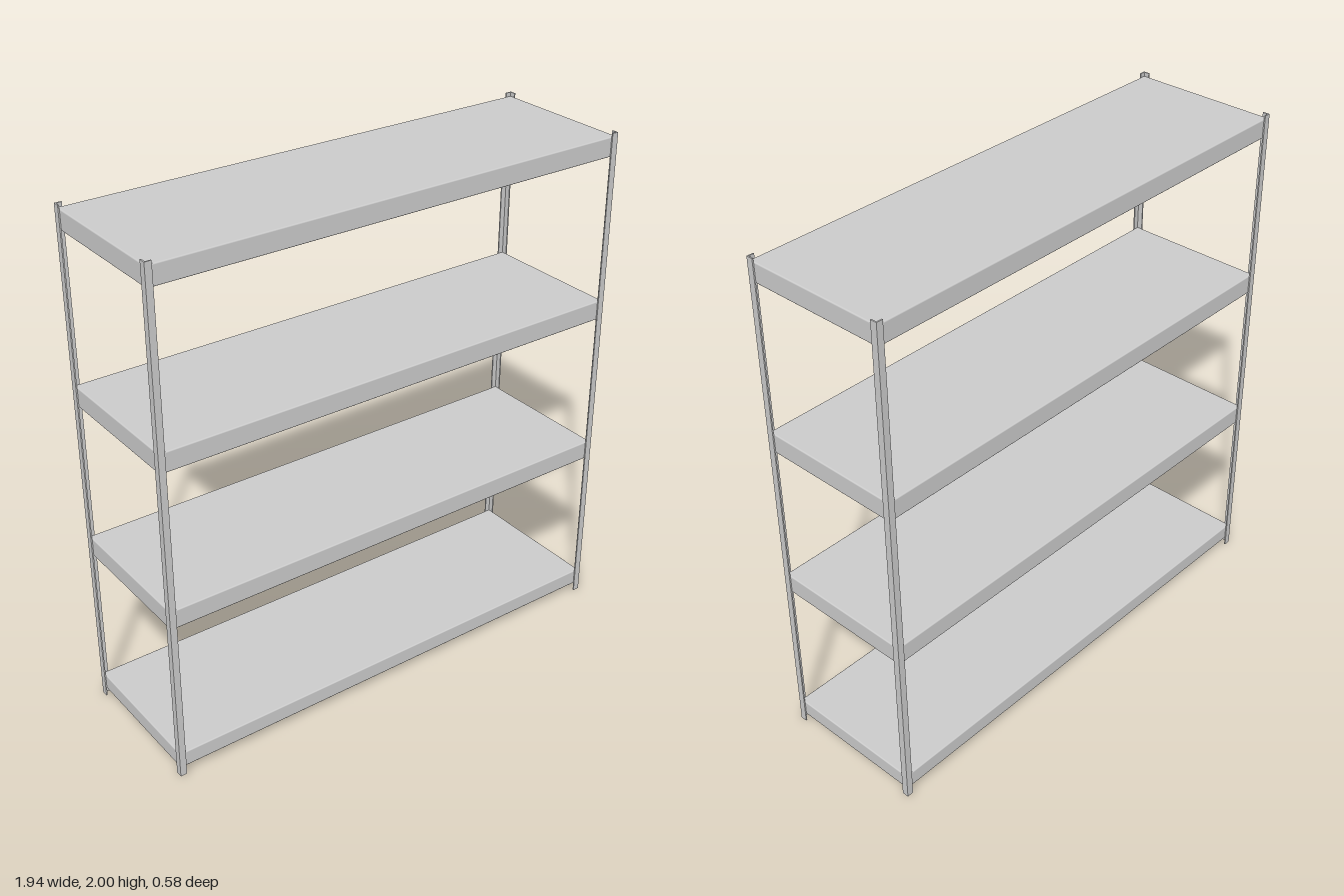
import * as THREE from 'three';
import { RoundedBoxGeometry } from 'three/addons/geometries/RoundedBoxGeometry.js';

const HALF_W = 0.97, HALF_D = 0.29, HEIGHT = 2;
const LEG = 0.026, THICK = 0.005;

export function createModel() {
  const group = new THREE.Group();
  const metal = new THREE.MeshStandardMaterial({ color: 0xcccccc });

  // Shelf decks with folded, slightly rounded edges: [bottom, top]
  const levels = [[0.033, 0.096], [0.644, 0.719], [1.26, 1.337], [1.91, 1.986]];
  levels.forEach(([bottom, top], i) => {
    const deck = new THREE.Mesh(
      new RoundedBoxGeometry(2 * (HALF_W - THICK), top - bottom, 2 * (HALF_D - THICK), 2, 0.005), metal);
    deck.name = `shelf${i + 1}`;
    deck.position.y = (bottom + top) / 2;
    group.add(deck);
  });

  // Angle-iron corner posts, corner outwards
  for (const sx of [-1, 1]) {
    for (const sz of [-1, 1]) {
      const post = new THREE.Group();
      post.name = `${sz > 0 ? 'front' : 'back'}${sx > 0 ? 'Left' : 'Right'}Post`;

      const faceFlange = new THREE.Mesh(new THREE.BoxGeometry(LEG, HEIGHT, THICK), metal);
      faceFlange.name = 'faceFlange';
      faceFlange.position.set(-sx * LEG / 2, HEIGHT / 2, -sz * THICK / 2);

      const sideFlange = new THREE.Mesh(new THREE.BoxGeometry(THICK, HEIGHT, LEG - THICK), metal);
      sideFlange.name = 'sideFlange';
      sideFlange.position.set(-sx * THICK / 2, HEIGHT / 2, -sz * (LEG + THICK) / 2);

      post.add(faceFlange, sideFlange);
      post.position.set(sx * HALF_W, 0, sz * HALF_D);
      group.add(post);
    }
  }
  return group;
}
